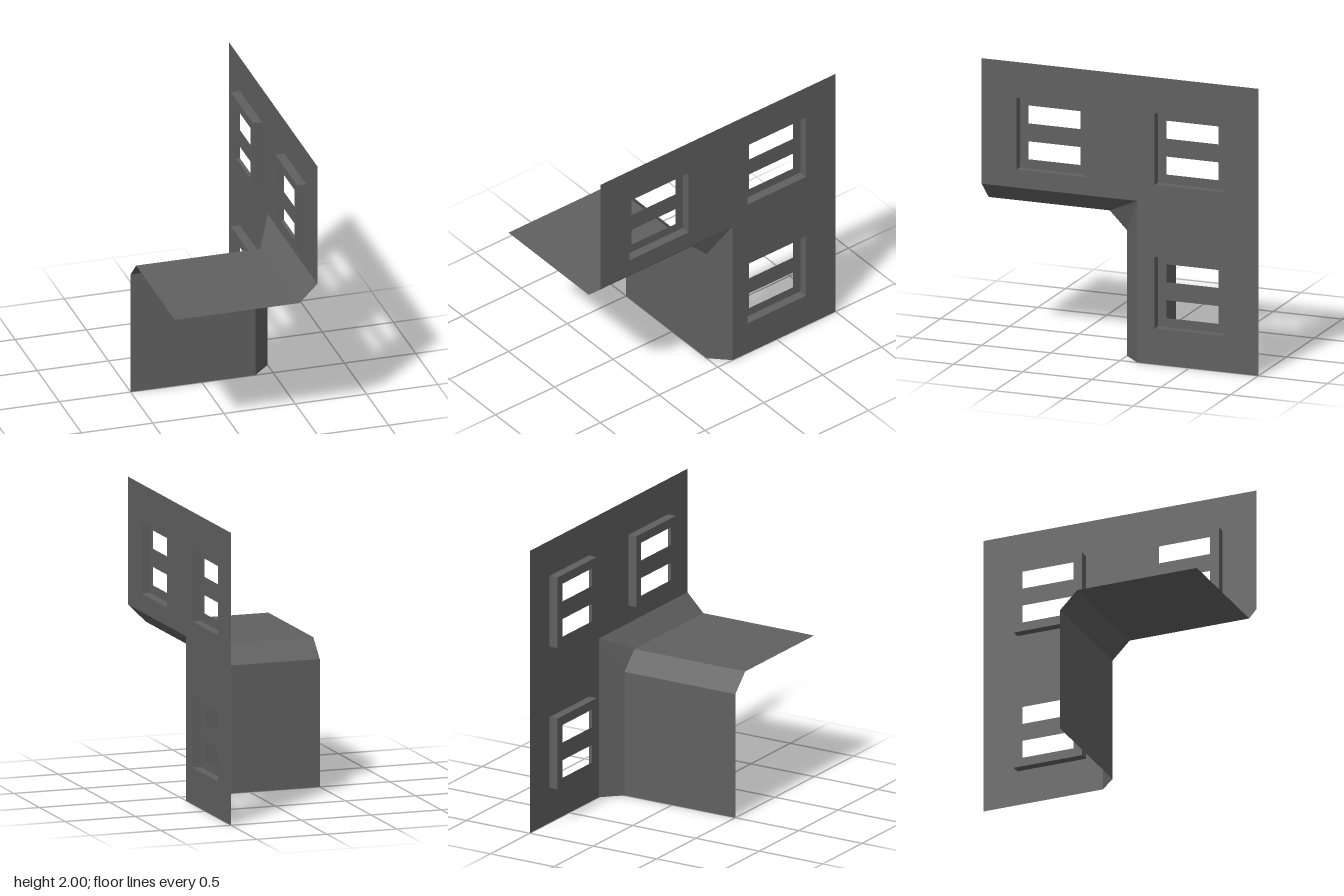
import * as THREE from 'three';

const WALL_X = 0.5, RECESS_X = 0.4375, BEVEL_X = 0.375;

const concrete = new THREE.MeshStandardMaterial({ color: 0x606060, side: THREE.DoubleSide });
concrete.name = 'dark grey concrete';

function add(parent, name, geometry) {
  const mesh = new THREE.Mesh(geometry, concrete);
  mesh.name = name;
  parent.add(mesh);
  return mesh;
}

// Flat convex face from its corners, counter-clockwise seen from outside
function face(...corners) {
  const positions = [];
  for (let i = 1; i < corners.length - 1; i++) {
    positions.push(...corners[0], ...corners[i], ...corners[i + 1]);
  }
  const geometry = new THREE.BufferGeometry();
  geometry.setAttribute('position', new THREE.Float32BufferAttribute(positions, 3));
  geometry.computeVertexNormals();
  return geometry;
}

// Corners of a rectangle in the wall plane (u runs towards -z, v is up)
function rect(u, v, halfW, halfH) {
  return [[-1, -1], [1, -1], [1, 1], [-1, 1]]
    .map(([a, b]) => new THREE.Vector2(u + a * halfW, v + b * halfH));
}

// Upright sheet facing +x with holes
function sheet(outline, holes, x) {
  const shape = new THREE.Shape(outline);
  holes.forEach((hole) => shape.holes.push(new THREE.Path(hole)));
  return new THREE.ShapeGeometry(shape).rotateY(Math.PI / 2).translate(x, 0, 0);
}

// Recessed window: four reveals and a back panel with two openings
function createWindow(u, v) {
  const group = new THREE.Group();
  group.name = 'window';
  const border = rect(u, v, 0.25, 0.25);
  border.forEach((a, i) => {
    const b = border[(i + 1) % 4];
    add(group, 'windowReveal', face(
      [WALL_X, a.y, -a.x], [WALL_X, b.y, -b.x],
      [RECESS_X, b.y, -b.x], [RECESS_X, a.y, -a.x]));
  });
  const openings = [-0.125, 0.125].map((dv) => rect(u, v + dv, 0.1875, 0.0625));
  add(group, 'windowPanel', sheet(border, openings, RECESS_X));
  return group;
}

export function createModel() {
  const model = new THREE.Group();
  model.name = 'buildingCorner';

  // L-shaped side wall with three window holes
  const windows = [[-0.5, 1.5], [0.5, 1.5], [0.5, 0.5]];
  const outline = [[0.125, 0], [1, 0], [1, 2], [-1, 2], [-1, 1.125], [0.125, 1.125]]
    .map(([u, v]) => new THREE.Vector2(u, v));
  add(model, 'sideWall', sheet(outline, windows.map(([u, v]) => rect(u, v, 0.25, 0.25)), WALL_X));
  windows.forEach(([u, v]) => model.add(createWindow(u, v)));

  // Front wall and overhang, joined by a bevel
  const L = -0.5, R = BEVEL_X;
  add(model, 'frontWall', face([L, 0, 0], [R, 0, 0], [R, 0.875, 0], [L, 0.875, 0]));
  add(model, 'overhangBevel', face([L, 0.875, 0], [R, 0.875, 0], [R, 1, 0.125], [L, 1, 0.125]));
  add(model, 'overhang', face([L, 1, 0.125], [R, 1, 0.125], [R, 1, 1], [L, 1, 1]));

  // Bevels leading to the side wall, meeting at a corner triangle
  const tip = [WALL_X, 1.125, -0.125];
  add(model, 'uprightBevel', face([R, 0, 0], [WALL_X, 0, -0.125], tip, [R, 0.875, 0]));
  add(model, 'lowerEdgeBevel', face([R, 1, 0.125], tip, [WALL_X, 1.125, 1], [R, 1, 1]));
  add(model, 'cornerBevel', face([R, 0.875, 0], tip, [R, 1, 0.125]));

  return model;
}
